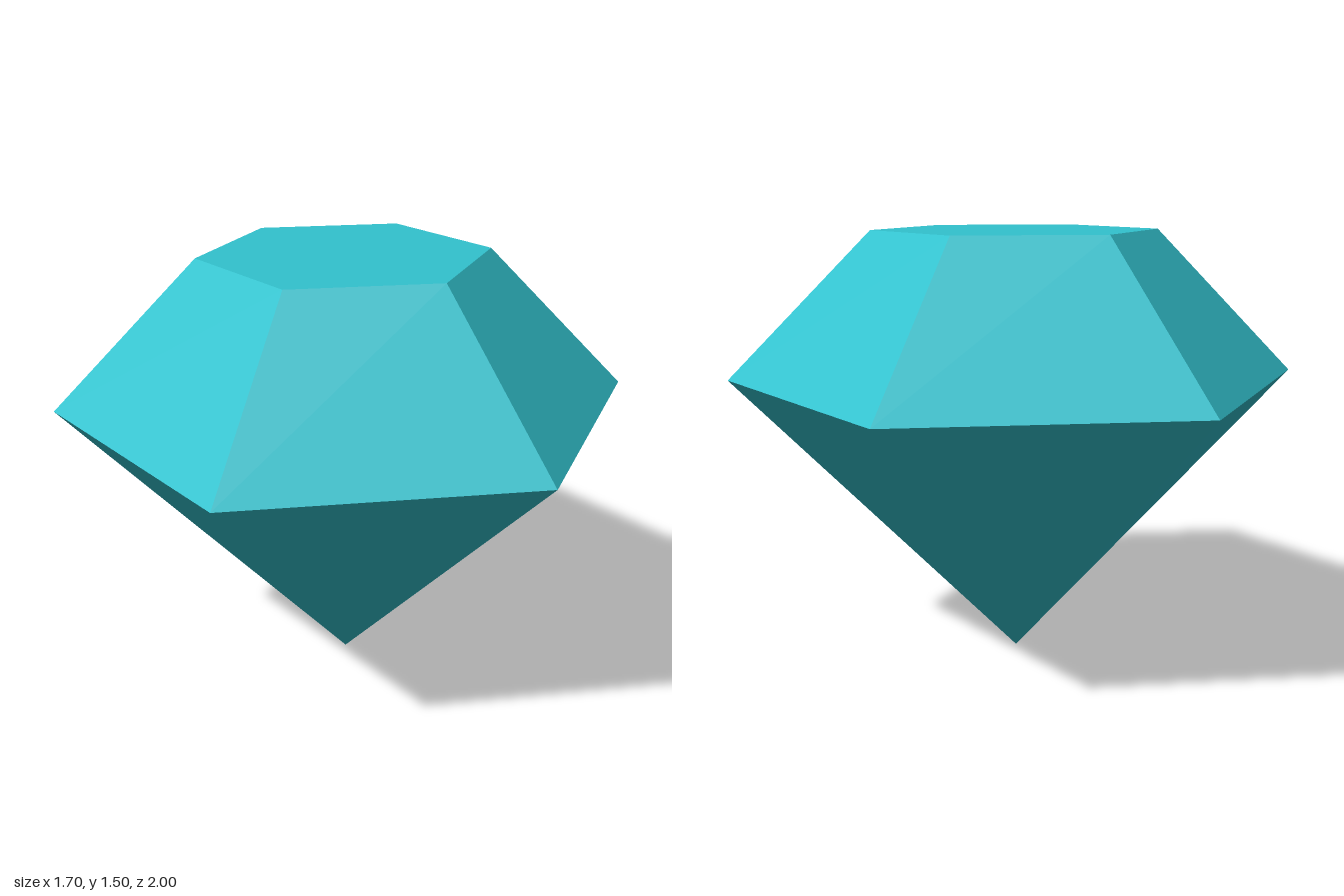
import * as THREE from 'three';

const SIDES = 6;
const GIRDLE_RADIUS = 1;
const TABLE_RADIUS = 0.5;
const GIRDLE_Y = 1;
const TABLE_Y = 1.5;
const WIDTH_SCALE = 0.98; // hexagon is slightly narrowed across x

export function createModel() {
  const group = new THREE.Group();
  group.name = 'cutGem';

  const gemTurquoise = new THREE.MeshStandardMaterial({ color: 0x32c2ce, flatShading: true });
  gemTurquoise.name = 'gemTurquoise';

  const addPart = (name, geometry, y) => {
    geometry.scale(WIDTH_SCALE, 1, 1);
    const mesh = new THREE.Mesh(geometry, gemTurquoise);
    mesh.name = name;
    mesh.position.y = y;
    group.add(mesh);
  };

  // Flat hexagonal table on top, corners on the z axis
  const table = new THREE.CircleGeometry(TABLE_RADIUS, SIDES, Math.PI / 2);
  table.rotateX(-Math.PI / 2);
  addPart('table', table, TABLE_Y);

  // Sloping facets between table and girdle
  const crownHeight = TABLE_Y - GIRDLE_Y;
  addPart('crown',
    new THREE.CylinderGeometry(TABLE_RADIUS, GIRDLE_RADIUS, crownHeight, SIDES, 1, true),
    GIRDLE_Y + crownHeight / 2);

  // Lower facets meeting in a point on the ground
  addPart('pavilion',
    new THREE.CylinderGeometry(GIRDLE_RADIUS, 0, GIRDLE_Y, SIDES, 1, true),
    GIRDLE_Y / 2);

  return group;
}
